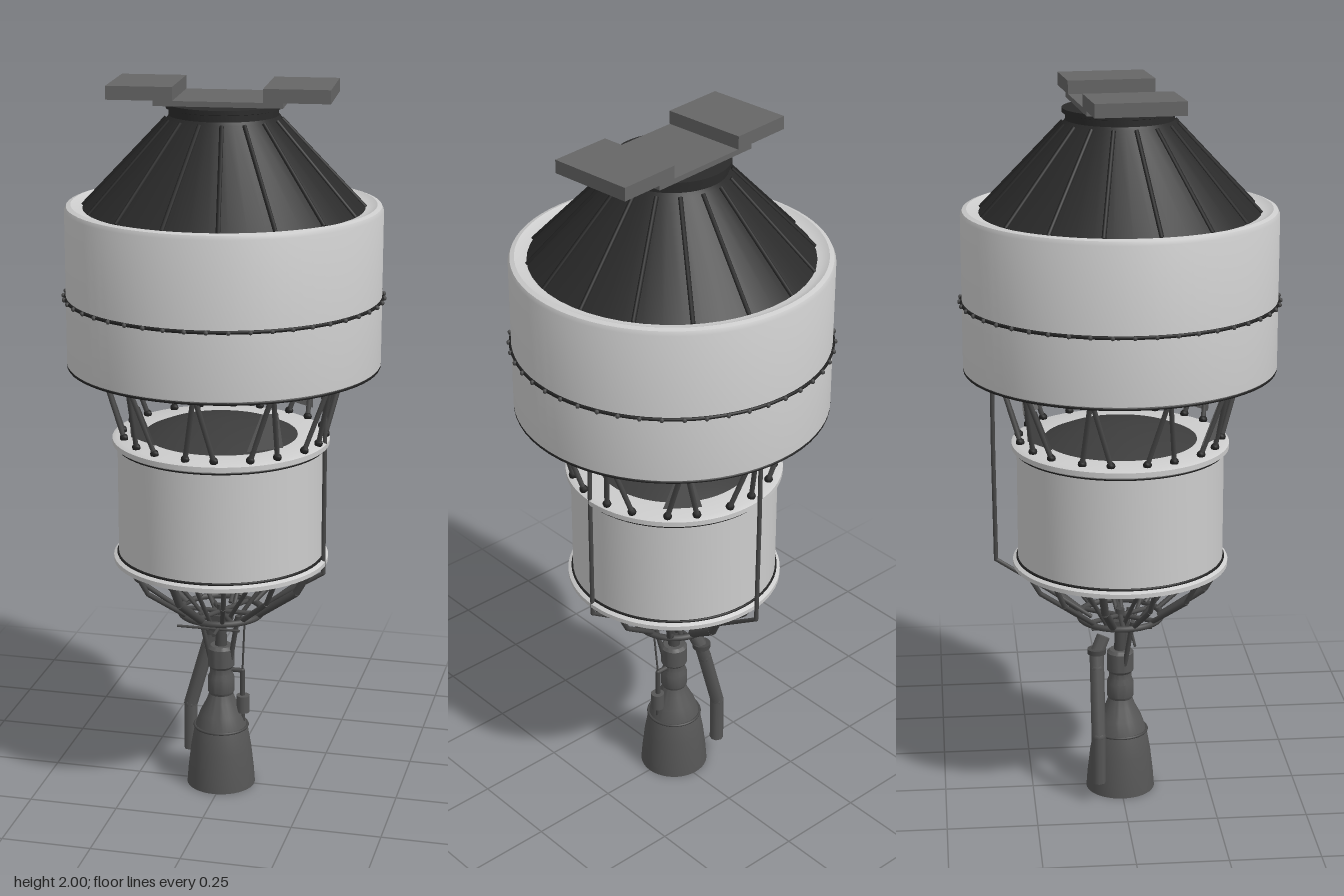
import * as THREE from 'three';
import { toCreasedNormals } from 'three/addons/utils/BufferGeometryUtils.js';

const material = (name, color, side = THREE.FrontSide) => {
  const m = new THREE.MeshStandardMaterial({ color, side });
  m.name = name;
  return m;
};
const V = (x, y, z) => new THREE.Vector3(x, y, z);
// point at an angle around the axis
const around = (a, r, y) => V(Math.cos(a) * r, y, Math.sin(a) * r);

export function createModel() {
  const white = material('white shell', 0xcccccc);
  const black = material('black cone', 0x2a2a2a);
  const seam = material('seam black', 0x222222);
  const domeGrey = material('dome grey', 0x3c3c3c);
  const engineGrey = material('engine grey', 0x565656, THREE.DoubleSide);
  const strutGrey = material('strut grey', 0x484848);
  const plateGrey = material('plate grey', 0x666666, THREE.DoubleSide);

  const model = new THREE.Group();
  const group = (name, parent = model) => {
    const g = new THREE.Group();
    g.name = name;
    parent.add(g);
    return g;
  };
  const add = (parent, name, geometry, mat, x = 0, y = 0, z = 0) => {
    const mesh = new THREE.Mesh(geometry, mat);
    mesh.name = name;
    mesh.position.set(x, y, z);
    parent.add(mesh);
    return mesh;
  };
  const lathe = (parent, name, points, mat, segments = 64) => add(parent, name,
    toCreasedNormals(new THREE.LatheGeometry(points.map(p => new THREE.Vector2(...p)), segments), 0.5), mat);
  const ring = (parent, name, r, tube, y, mat) => {
    const mesh = add(parent, name, new THREE.TorusGeometry(r, tube, 8, 64), mat, 0, y, 0);
    mesh.rotation.x = Math.PI / 2;
    return mesh;
  };
  const rod = (parent, name, a, b, r, mat = strutGrey) => {
    const mesh = add(parent, name, new THREE.CylinderGeometry(r, r, a.distanceTo(b), 8), mat);
    mesh.position.copy(a).lerp(b, 0.5);
    mesh.quaternion.setFromUnitVectors(V(0, 1, 0), b.clone().sub(a).normalize());
    return mesh;
  };
  // pipe made of straight runs with round elbows
  const pipe = (parent, name, points, r, mat) => {
    const g = group(name, parent);
    points.forEach((p, i) => {
      if (i) rod(g, 'pipeRun', points[i - 1], p, r, mat);
      if (i && i < points.length - 1) add(g, 'elbow', new THREE.SphereGeometry(r, 10, 8), mat, p.x, p.y, p.z);
    });
    return g;
  };

  // Upper tank
  const upper = group('upperTank');
  lathe(upper, 'upperShell', [[0.3, 1.245], [0.415, 1.238], [0.425, 1.248], [0.425, 1.665], [0.42, 1.676],
    [0.408, 1.68], [0.388, 1.67], [0.365, 1.67]], white, 72);
  lathe(upper, 'upperTankDome', [[0, 1.163], [0.07, 1.167], [0.14, 1.178], [0.21, 1.198], [0.27, 1.222], [0.315, 1.25]], domeGrey);
  ring(upper, 'beltSeam', 0.426, 0.005, 1.43, seam);
  ring(upper, 'lowerEdgeSeam', 0.421, 0.004, 1.242, seam);
  for (let i = 0; i < 48; i++) {
    const p = around(i * Math.PI / 24, 0.431, 1.43);
    add(upper, 'beltBolt', new THREE.SphereGeometry(0.0065, 6, 5), strutGrey, p.x, p.y, p.z);
  }

  // Ribbed adapter cone and its cap
  const adapter = group('adapterCone');
  lathe(adapter, 'cone', [[0.378, 1.668], [0.152, 1.905], [0.145, 1.915]], black, 48);
  lathe(adapter, 'coneCap', [[0.145, 1.908], [0.145, 1.932], [0.153, 1.934], [0.153, 1.946], [0, 1.946]], black, 48);
  for (let i = 0; i < 16; i++) {
    const a = (i + 0.5) * Math.PI / 8;
    rod(adapter, 'coneRib', around(a, 0.376, 1.671), around(a, 0.152, 1.906), 0.006, seam);
  }

  // Equipment platform, turned slightly
  const platform = group('equipmentPlatform');
  platform.rotation.y = 0.094;
  add(platform, 'platformDeck', new THREE.BoxGeometry(0.34, 0.014, 0.235), plateGrey, 0, 1.957, 0);
  for (const s of [-1, 1])
    add(platform, 'equipmentBox', new THREE.BoxGeometry(0.175, 0.036, 0.238), plateGrey, s * 0.206, 1.982, 0);

  // Lower stage
  const lower = group('lowerStage');
  lower.position.x = -0.008;
  lathe(lower, 'lowerShell', [[0.19, 0.688], [0.288, 0.68], [0.298, 0.683], [0.298, 0.695], [0.284, 0.703], [0.284, 1.012],
    [0.298, 1.02], [0.298, 1.034], [0.285, 1.04], [0.18, 1.04]], white);
  ring(lower, 'topFlangeSeam', 0.285, 0.004, 1.013, seam);
  ring(lower, 'bottomFlangeSeam', 0.285, 0.004, 0.703, seam);
  ring(lower, 'bottomFlange', 0.29, 0.008, 0.688, strutGrey);
  lathe(lower, 'lowerTankTopDome', [[0.215, 1.038], [0.17, 1.057], [0.11, 1.074], [0.05, 1.083], [0, 1.085]], domeGrey);
  lathe(lower, 'lowerTankBottomDome', [[0, 0.618], [0.07, 0.621], [0.13, 0.632], [0.18, 0.655], [0.22, 0.69]], domeGrey);

  // A-frames joining the two tanks
  const truss = group('interstageTruss');
  for (let i = 0; i < 10; i++) {
    const a = (i + 0.5) * Math.PI / 5;
    const top = around(a, 0.335, 1.24);
    for (const s of [-1, 1]) {
      const foot = around(a + s * 0.14, 0.278, 1.045);
      rod(truss, 'trussStrut', top, foot, 0.007);
      add(truss, 'trussFoot', new THREE.SphereGeometry(0.012, 8, 6), seam, foot.x, foot.y, foot.z);
    }
    add(truss, 'trussBracket', new THREE.BoxGeometry(0.026, 0.02, 0.026), strutGrey, top.x, 1.232, top.z).rotation.y = -a;
  }
  // trapezoid panels hung inside some frames
  const trapezoid = new THREE.Shape([[-0.052, -0.055], [0.052, -0.055], [0.024, 0.055], [-0.024, 0.055]]
    .map(p => new THREE.Vector2(...p)));
  for (const i of [1, 3, 6, 8]) {
    const a = (i + 0.5) * Math.PI / 5;
    const holder = group('trussPanel', truss);
    holder.rotation.y = Math.PI / 2 - a;
    add(holder, 'panel', new THREE.ShapeGeometry(trapezoid), plateGrey, 0, 1.125, 0.297).rotation.x = 0.27;
  }

  // Thrust structure under the lower tank
  const thrust = group('thrustStructure', lower);
  for (let i = 0; i < 12; i++) {
    const a = (i + 0.5) * Math.PI / 6;
    const heavy = i % 3 === 0;
    const knee = around(a, 0.235, 0.615);
    rod(thrust, 'thrustStrut', around(a, 0.275, 0.685), knee, heavy ? 0.011 : 0.007);
    rod(thrust, 'thrustStrut', knee, around(a, 0.11, 0.525), heavy ? 0.011 : 0.007);
    if (i % 2) rod(thrust, 'innerStrut', around(a, 0.15, 0.64), around(a + 0.3, 0.04, 0.49), 0.006);
  }
  ring(thrust, 'thrustRing', 0.115, 0.009, 0.522, strutGrey);
  for (let i = 0; i < 3; i++) {
    const a = i * Math.PI / 3;
    rod(thrust, 'crossBeam', around(a, 0.115, 0.52), around(a + Math.PI, 0.115, 0.52), 0.007);
  }
  rod(thrust, 'actuatorRod', V(-0.12, 0.475, 0.03), V(0.06, 0.475, 0.03), 0.004);
  rod(thrust, 'actuatorRod', V(0, 0.48, 0.09), V(0, 0.48, -0.08), 0.005);
  for (const s of [-1, 1]) rod(thrust, 'actuator', V(s * 0.03, 0.38, 0.01), V(s * 0.055, 0.52, 0.03), 0.007);

  // Engine
  const engine = group('engine', lower);
  lathe(engine, 'nozzle', [[0.097, 0], [0.094, 0.04], [0.086, 0.11], [0.075, 0.172], [0.06, 0.215], [0.042, 0.25],
    [0.034, 0.272]], engineGrey, 40);
  ring(engine, 'nozzleBand', 0.075, 0.004, 0.175, strutGrey);
  lathe(engine, 'combustionChamber', [[0.03, 0.265], [0.038, 0.28], [0.038, 0.32], [0.032, 0.335], [0.032, 0.35],
    [0.038, 0.358], [0.038, 0.41], [0.03, 0.418], [0, 0.418]], engineGrey, 32);
  add(engine, 'gimbalPost', new THREE.CylinderGeometry(0.012, 0.018, 0.13, 12), strutGrey, 0, 0.475, 0);
  add(engine, 'gimbalBlock', new THREE.BoxGeometry(0.06, 0.022, 0.045), strutGrey, 0, 0.5, 0);

  // Turbine exhaust duct
  pipe(engine, 'exhaustDuct', [V(-0.03, 0.47, -0.05), V(-0.042, 0.425, -0.07), V(-0.055, 0.385, -0.07),
    V(-0.107, 0.2, -0.07), V(-0.107, 0.06, -0.07)], 0.02, engineGrey);
  add(engine, 'ductFlange', new THREE.CylinderGeometry(0.026, 0.026, 0.014, 20), strutGrey, -0.043, 0.432, -0.07);
  // Side turbopump
  pipe(engine, 'pumpPipe', [V(0.03, 0.345, 0), V(0.062, 0.345, 0), V(0.062, 0.19, 0)], 0.007, strutGrey);
  add(engine, 'pumpBody', new THREE.CylinderGeometry(0.019, 0.019, 0.05, 16), engineGrey, 0.064, 0.245, 0);
  rod(engine, 'pumpBrace', V(0.064, 0.215, 0), V(0.03, 0.22, 0), 0.006);
  rod(engine, 'controlLine', V(0.07, 0.5, 0.01), V(0.062, 0.345, 0), 0.003);

  // Propellant feed lines down the outside
  pipe(model, 'sideFeedLine', [V(0.27, 1.24, 0.01), V(0.284, 1.1, 0.01), V(0.284, 0.66, 0.01),
    V(0.15, 0.575, 0.01), V(0.05, 0.5, 0.01)], 0.006, strutGrey);
  pipe(model, 'rearFeedLine', [V(0, 1.24, -0.348), V(0, 1.0, -0.348), V(0, 0.695, -0.345),
    V(0, 0.6, -0.2), V(0, 0.515, -0.08)], 0.006, strutGrey);

  return model;
}
